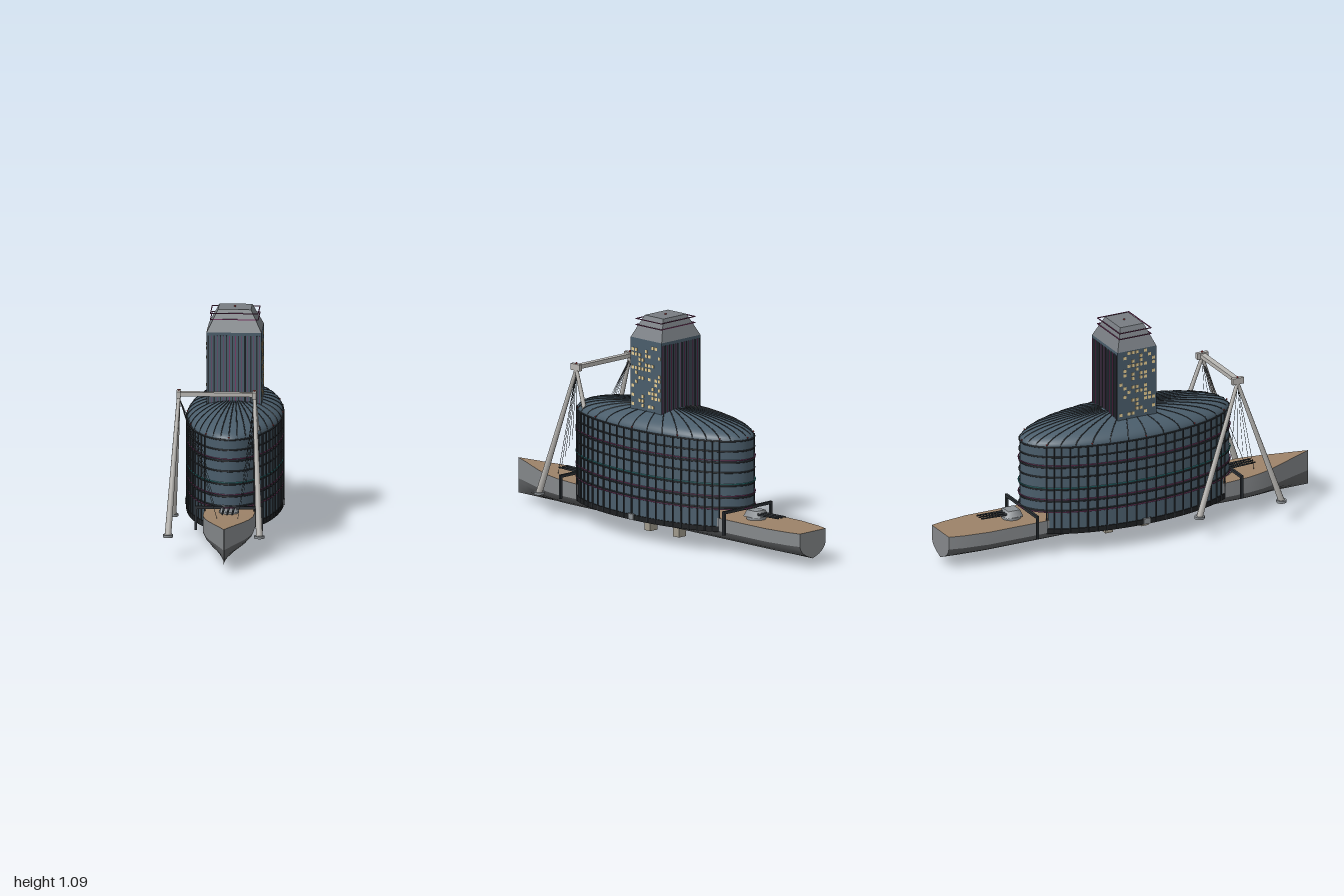
import * as THREE from 'three';
import { mergeGeometries } from 'three/addons/utils/BufferGeometryUtils.js';

const CX = 0.035, A = 0.23, C = 0.557;      // centre line and drum half axes
const GATE = 0.54;                          // half angle of the openings for the hull
const V = (x, y, z) => new THREE.Vector3(x, y, z);
const mat = (color) => new THREE.MeshStandardMaterial({ color, side: THREE.DoubleSide });

const M = {
  wall: mat(0x4a5d6b), dark: mat(0x2b3035), black: mat(0x1d1f21), purple: mat(0x7a3a66), cyan: mat(0x2f8a8c),
  hull: mat(0x85888b), keel: mat(0x5f6163), deck: mat(0x9c8268), roof: mat(0x777c81),
  steel: mat(0xb8b6b2), gun: mat(0x8b9094), light: mat(0xe6cd94), red: mat(0xa03030), block: mat(0xa09a8c),
};

// Sweeps a surface through equal-length rows of points
function loft(rows) {
  const n = rows[0].length, idx = [];
  for (let i = 0; i < rows.length - 1; i++) for (let j = 0; j < n - 1; j++) {
    const a = i * n + j, b = a + n;
    idx.push(a, b, a + 1, b, b + 1, a + 1);
  }
  const g = new THREE.BufferGeometry().setFromPoints(rows.flat());
  g.setIndex(idx);
  g.computeVertexNormals();
  return g;
}
const box = (w, h, d, x, y, z) => new THREE.BoxGeometry(w, h, d).translate(x, y, z);

// Round or square bar between two points
function bar(p, q, r0, r1 = r0, sides = 6) {
  const d = q.clone().sub(p), g = new THREE.CylinderGeometry(r1, r0, d.length(), sides);
  g.applyQuaternion(new THREE.Quaternion().setFromUnitVectors(V(0, 1, 0), d.normalize()));
  return g.translate((p.x + q.x) / 2, (p.y + q.y) / 2, (p.z + q.z) / 2);
}
const onDrum = (t, y, k = 1) => V(CX + A * k * Math.sin(t), y, C * k * Math.cos(t));

// Tube following the drum's ellipse between two angles
function hoop(y, r, t0 = 0, t1 = 2 * Math.PI, k = 1.004) {
  const pts = [];
  for (let i = 0; i <= 48; i++) pts.push(onDrum(t0 + (t1 - t0) * i / 48, y, k));
  return new THREE.TubeGeometry(new THREE.CatmullRomCurve3(pts), 96, r, 5);
}

export function createModel() {
  const model = new THREE.Group();
  const add = (name, geo, material) => {
    const m = new THREE.Mesh(Array.isArray(geo) ? mergeGeometries(geo) : geo, material);
    m.name = name;
    model.add(m);
  };

  // Ship hull: [z, half width, deck height] per station
  const stations = [[-1, 0.088, 0.172], [-0.93, 0.105, 0.172], [-0.8, 0.122, 0.172], [-0.5, 0.123, 0.172],
    [0, 0.123, 0.176], [0.5, 0.123, 0.183], [0.62, 0.121, 0.188], [0.7, 0.107, 0.192], [0.78, 0.083, 0.197],
    [0.86, 0.052, 0.202], [0.93, 0.026, 0.207], [1, 0.001, 0.211]];
  const below = [[1, 0.108], [0.93, 0.09], [0.78, 0.073], [0.5, 0.056], [0.2, 0.045], [0, 0.038]];
  for (const s of [1, -1]) {
    add('hullSide', loft(stations.map(([z, w, d]) => [V(CX + s * w, d, z), V(CX + s * w, 0.108, z)])), M.hull);
    add('hullBottom', loft(stations.map(([z, w]) => below.map(([k, y]) => V(CX + s * w * k, y, z)))), M.keel);
  }
  add('deck', loft(stations.map(([z, w, d]) => [V(CX - w, d, z), V(CX + w, d, z)])), M.deck);
  const tw = stations[0][1], half = [[1, 0.172], ...below];
  add('transom', loft(half.map(([k, y]) => [V(CX - tw * k, y, -1), V(CX + tw * k, y, -1)])), M.hull);
  add('keelBlocks', [0.1, -0.095].map((z) => box(0.05, 0.06, 0.04, CX, 0.03, z)), M.block);

  // Gun turrets with triple barrels
  for (const [z, s, y] of [[-0.615, -1, 0.172], [0.525, 1, 0.183]]) {
    const house = new THREE.CylinderGeometry(0.045, 0.062, 0.032, 4, 1).rotateY(Math.PI / 4);
    add('turret', [house.translate(CX, y + 0.028, z),
      new THREE.CylinderGeometry(0.048, 0.048, 0.014, 20).translate(CX, y + 0.006, z)], M.gun);
    add('gunBarrels', [-1, 0, 1].map((i) =>
      bar(V(CX + i * 0.024, y + 0.028, z), V(CX + i * 0.024, y + 0.032, z + s * 0.175), 0.006, 0.004, 8)), M.dark);
  }

  // Oval drum wall, left open at both ends for the hull
  const wall = (y0, y1, t, len) =>
    new THREE.CylinderGeometry(1, 1, y1 - y0, 64, 1, true, t, len).scale(A, 1, C).translate(CX, (y0 + y1) / 2, 0);
  const arc = Math.PI - 2 * GATE, starts = [GATE, Math.PI + GATE];
  add('drumWall', [wall(0.215, 0.55, 0, 2 * Math.PI), ...starts.map((t) => wall(0.105, 0.215, t, arc))], M.wall);

  // Heavy foot ring on each side
  add('footRing', starts.map((t) => {
    const pts = [];
    for (let i = 0; i <= 32; i++) pts.push([t + arc * i / 32, 1.02]);
    for (let i = 32; i >= 0; i--) pts.push([t + arc * i / 32, 0.93]);
    const shape = new THREE.Shape(pts.map(([a, k]) => new THREE.Vector2(A * k * Math.sin(a), -C * k * Math.cos(a))));
    return new THREE.ExtrudeGeometry(shape, { depth: 0.026, bevelEnabled: false })
      .rotateX(-Math.PI / 2).translate(CX, 0.104, 0);
  }), M.black);
  for (const s of [1, -1]) {
    add('sideStrut', box(0.13, 0.03, 0.05, CX + s * 0.165, 0.12, 0), M.dark);
    add('sidePad', box(0.02, 0.028, 0.035, CX + s * 0.23, 0.12, 0), M.gun);
  }

  // Dome of half-ellipse profile, with ribs and rim beacons
  const domeY = (k) => 0.55 + 0.09 * Math.sqrt(Math.max(0, 1 - k * k));
  const profile = [];
  for (let i = 0; i <= 16; i++) {
    const k = Math.cos(i / 16 * Math.PI / 2);
    profile.push(new THREE.Vector2(k, domeY(k)));
  }
  add('dome', new THREE.LatheGeometry(profile, 64).scale(A, 1, C).translate(CX, 0, 0), M.wall);
  const domeRibs = [], beacons = [], wallRibs = [];
  for (let i = 0; i < 36; i++) {
    const t = i / 36 * 2 * Math.PI;
    const pts = [0, 0.18, 0.4, 0.65, 0.9, 1.15, 1.35].map((a) => onDrum(t, domeY(Math.cos(a)), Math.cos(a)));
    domeRibs.push(new THREE.TubeGeometry(new THREE.CatmullRomCurve3(pts), 16, 0.0028, 5));
    if (i % 3 === 0) beacons.push(new THREE.SphereGeometry(0.004, 8, 6).translate(...onDrum(t, 0.562).toArray()));
  }
  add('domeRibs', domeRibs, M.dark);
  add('rimBeacons', beacons, M.red);

  // Vertical ribs on the flanks and horizontal hoops all round
  for (const t of starts) for (let i = 0; i <= 22; i++) {
    const a = t + arc * i / 22;
    wallRibs.push(bar(onDrum(a, 0.105, 1.012), onDrum(a, 0.552, 1.012), 0.0042));
  }
  add('wallRibs', wallRibs, M.dark);
  add('darkHoops', [0.222, 0.27, 0.33, 0.395, 0.445, 0.5, 0.55].map((y) => hoop(y, 0.004)), M.dark);
  add('purpleHoops', [0.215, 0.28, 0.456].map((y) => hoop(y, 0.003, 0, 2 * Math.PI, 1.012)), M.purple);
  add('cyanHoop', hoop(0.339, 0.003, 0, 2 * Math.PI, 1.012), M.cyan);

  // Gate frames around the hull
  for (const z of [0.555, -0.555]) {
    add('gateFrame', [box(0.33, 0.014, 0.012, CX, 0.216, z),
      ...[-1, 1].map((s) => box(0.012, 0.11, 0.012, CX + s * 0.159, 0.16, z))], M.dark);
  }

  // Tower with sloped roof
  const W = 0.1325, D = 0.105;
  add('tower', box(2 * W, 0.375, 2 * D, CX, 0.7875, 0), M.wall);
  const roof = new THREE.BoxGeometry(2 * W, 0.105, 2 * D).translate(CX, 1.0275, 0), p = roof.attributes.position;
  for (let i = 0; i < p.count; i++) if (p.getY(i) > 1.03) {
    p.setX(i, CX + (p.getX(i) - CX) * 0.6);
    p.setZ(i, p.getZ(i) * 0.6);
  }
  roof.computeVertexNormals();
  add('towerRoof', roof, M.roof);
  add('roofBeacon', new THREE.SphereGeometry(0.005, 10, 8).translate(CX, 1.083, 0), M.red);
  add('roofRails', [1.035, 1.065].flatMap((y) => [-1, 1].flatMap((s) => [
    box(0.23, 0.004, 0.004, CX, y, s * 0.085), box(0.004, 0.004, 0.174, CX + s * 0.115, y, 0)])), M.purple);

  // Fluting on the tower's front and back
  const fins = [[], []];
  for (const s of [-1, 1]) for (let i = 0; i < 18; i++) {
    fins[i % 2].push(box(i % 2 ? 0.003 : 0.006, 0.34, 0.006, CX - 0.124 + i * 0.0146, 0.79, s * D));
  }
  add('towerFins', fins[0], M.dark);
  add('towerLightStrips', fins[1], M.purple);

  // Scattered lit windows on the tower's sides
  let seed = 7;
  const rnd = () => (seed = (seed * 16807) % 2147483647) / 2147483647;
  const windows = [];
  for (const s of [-1, 1]) for (let r = 0; r < 15; r++) for (let c = 0; c < 9; c++) {
    if (rnd() < 0.48 - r * 0.015) windows.push(box(0.004, 0.015, 0.015, CX + s * W, 0.648 + r * 0.0225, (c - 4) * 0.0222));
  }
  add('windows', windows, M.light);

  // Portal crane over the bow: splayed legs, beam and stay cables
  const Z = 0.487, heads = [[-0.21, -0.25], [0.155, 0.19]];
  add('craneBeam', box(0.365, 0.02, 0.028, -0.0275, 0.76, Z), M.steel);
  for (const [x, foot] of heads) {
    add('craneHead', box(0.02, 0.032, 0.06, x, 0.76, Z), M.steel);
    add('craneBeacon', new THREE.SphereGeometry(0.005, 8, 6).translate(x, 0.779, Z), M.red);
    add('craneLegs', [0.26, 0.705].map((z) => bar(V(foot, 0.11, z), V(x, 0.75, Z), 0.016, 0.009, 8)), M.steel);
    add('craneFeet', [0.26, 0.705].map((z) =>
      new THREE.CylinderGeometry(0.025, 0.025, 0.012, 16).translate(foot, 0.108, z)), M.gun);
    const side = Math.sign(x - CX), cables = [];
    for (let i = 0; i < 6; i++) {
      const end = V(CX + side * (0.11 - i * 0.012), 0.19 + (5 - i) * 0.05, 0.5 + i * 0.036);
      cables.push(bar(V(x, 0.745, Z), end, 0.0011, 0.0011, 4));
    }
    add('stayCables', cables, M.dark);
  }
  return model;
}
